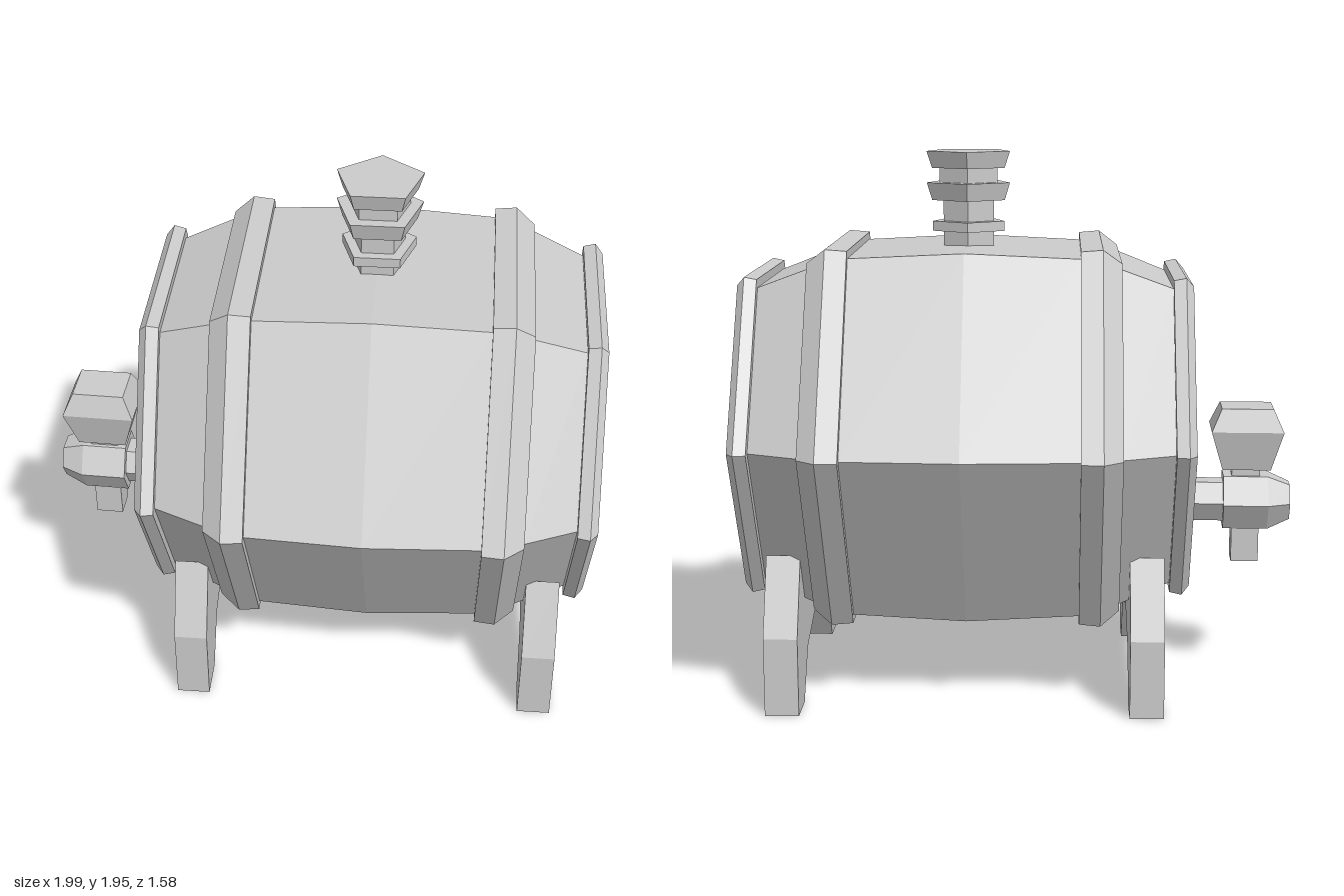
import * as THREE from 'three';

const material = new THREE.MeshStandardMaterial({ color: 0xcccccc, flatShading: true });
const AXIS_Y = 0.955;

function addMesh(parent, name, geometry) {
  const mesh = new THREE.Mesh(geometry, material);
  mesh.name = name;
  parent.add(mesh);
  return mesh;
}

// Faceted turned solid; points are [radius, height] from bottom to top
function turned(points, sides, startAngle = 0) {
  return new THREE.LatheGeometry(points.map(([r, h]) => new THREE.Vector2(r, h)), sides, startAngle);
}

// Hexagonal solid turned along the x axis, corners pointing to +z and -z
function alongX(points) {
  return turned(points, 6).rotateZ(-Math.PI / 2);
}

// Square tapered solid; points are [half width in x, height]
function squareTurned(points, depthScale = 1) {
  return turned(points.map(([w, h]) => [w * Math.SQRT2, h]), 4, Math.PI / 4).scale(1, 1, depthScale);
}

export function createModel() {
  const model = new THREE.Group();
  model.name = 'barrelOnStand';

  const keg = new THREE.Group();
  keg.name = 'keg';
  keg.position.set(0.18, 0, -0.003);
  keg.rotation.y = 0.032;
  model.add(keg);

  // Barrel: half profile from the recessed end to the belly, mirrored
  const half = [
    [0, -0.675], [0.5, -0.675], [0.5, -0.795], // recessed head
    [0.62, -0.795], [0.655, -0.768], [0.645, -0.725], // end hoop
    [0.61, -0.725], [0.69, -0.545], // staves
    [0.715, -0.545], [0.773, -0.478], [0.766, -0.402], // wide hoop
    [0.735, -0.402],
  ];
  const mirrored = half.map(([r, h]) => [r, -h]).reverse();
  addMesh(keg, 'barrel', alongX([...half, [0.757, 0], ...mirrored])).position.y = AXIS_Y;

  // Five-sided bung on top
  addMesh(keg, 'bung', turned([
    [0, 1.56], [0.095, 1.56], [0.095, 1.66],
    [0.135, 1.66], [0.135, 1.695], [0.095, 1.695], [0.095, 1.77],
    [0.137, 1.77], [0.157, 1.833], [0.11, 1.833], [0.11, 1.885],
    [0.137, 1.885], [0.157, 1.945], [0, 1.945],
  ], 5, Math.PI));

  // Arched cradle legs
  const right = [[0.4, 0], [0.545, 0], [0.545, 0.28], [0.425, 0.55], [0.31, 0.425]];
  const left = right.map(([z, y]) => [-z, y]).reverse();
  const outline = [[0, 0.28], [0.285, 0.175], ...right, ...left, [-0.285, 0.175]];
  const shape = new THREE.Shape(outline.map(([z, y]) => new THREE.Vector2(z, y)));
  for (const [name, x] of [['tapEndLegs', -0.64], ['farEndLegs', 0.64]]) {
    const geometry = new THREE.ExtrudeGeometry(shape, { depth: 0.12, bevelEnabled: false });
    geometry.translate(0, 0, -0.06).rotateY(Math.PI / 2);
    addMesh(keg, name, geometry).position.x = x;
  }

  // Tap: hexagonal pipe and body, square spout, stem and knob
  const tap = new THREE.Group();
  tap.name = 'tap';
  tap.position.set(-0.838, 0.664, 0.02);
  model.add(tap);
  addMesh(tap, 'tapBody', alongX([
    [0, -0.162], [0.074, -0.162], [0.113, -0.08], [0.113, 0.083],
    [0.083, 0.083], [0.083, 0.36], [0, 0.36],
  ]));
  addMesh(tap, 'spout', squareTurned([[0, -0.224], [0.05, -0.224], [0.05, -0.05], [0, -0.05]]));
  addMesh(tap, 'knob', squareTurned([
    [0, 0.05], [0.052, 0.05], [0.052, 0.126], [0.088, 0.126],
    [0.131, 0.272], [0.094, 0.354], [0, 0.354],
  ], 0.82));

  return model;
}
